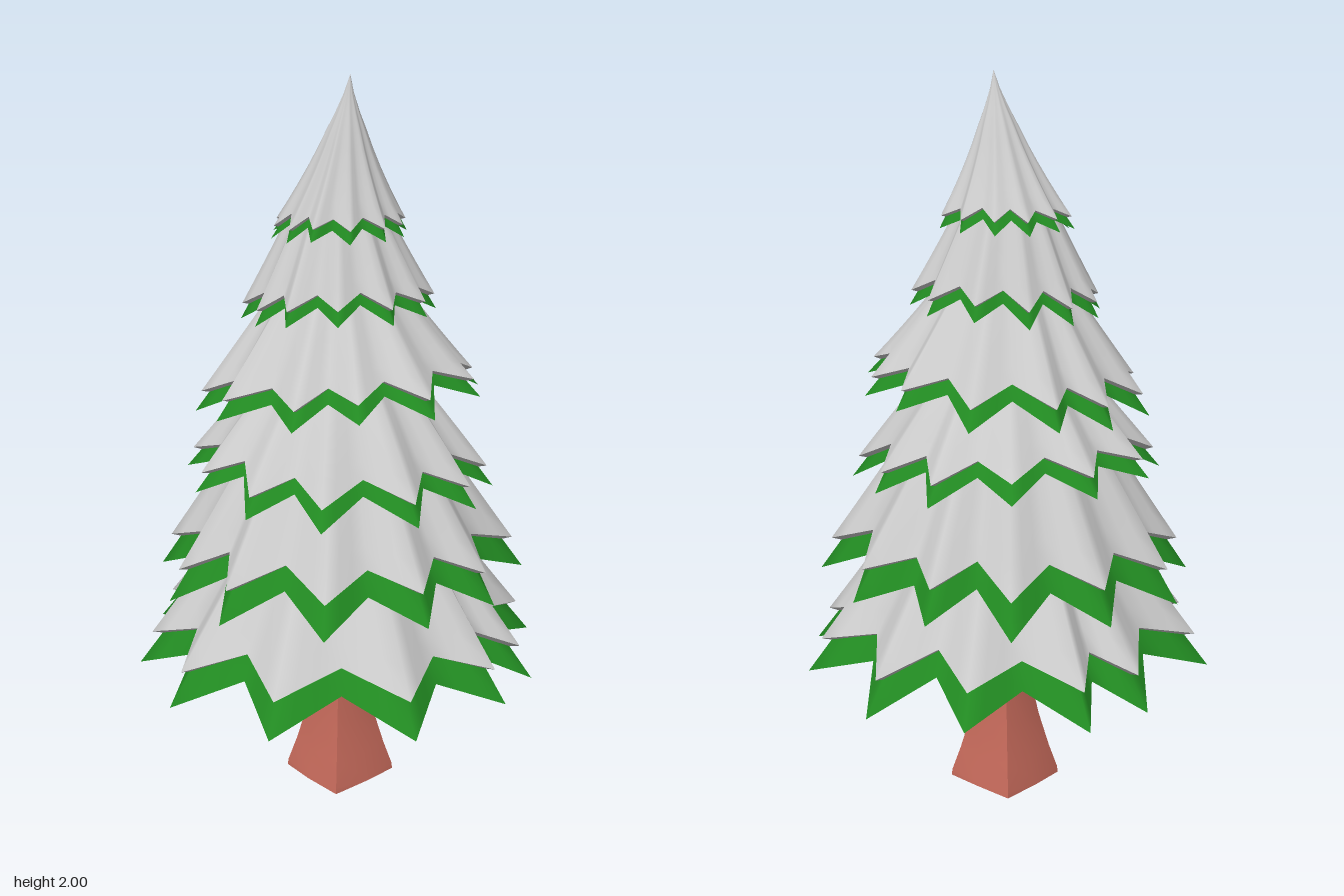
import * as THREE from 'three';
import { toCreasedNormals } from 'three/addons/utils/BufferGeometryUtils.js';

const snowMat = new THREE.MeshStandardMaterial({ color: 0xcccccc, side: THREE.DoubleSide });
const leafMat = new THREE.MeshStandardMaterial({ color: 0x228b22, side: THREE.DoubleSide });
const barkMat = new THREE.MeshStandardMaterial({ color: 0xc4695a });

// Small seeded generator giving values in -1..1
let seed = 7;
const rand = () => {
  seed = (seed * 16807) % 2147483647;
  return (seed / 2147483647) * 2 - 1;
};

// Closed skin over rows of points; point(row, column) returns [x, y, z], rows run downwards
function skin(rows, cols, point) {
  const pos = [], index = [];
  for (let i = 0; i < rows; i++) {
    for (let j = 0; j < cols; j++) {
      pos.push(...point(i, j));
      if (i === rows - 1) continue;
      const a = i * cols + j, b = i * cols + (j + 1) % cols;
      index.push(a, b, a + cols, b, b + cols, a + cols);
    }
  }
  const g = new THREE.BufferGeometry();
  g.setAttribute('position', new THREE.Float32BufferAttribute(pos, 3));
  g.setIndex(index);
  g.computeVertexNormals();
  return g;
}

function part(name, geometry, material) {
  const mesh = new THREE.Mesh(geometry, material);
  mesh.name = name;
  return mesh;
}

// Branch tiers from the bottom up; k scales the snow and the rim, tilt leans the rim along x
const even = (start) => Array.from({ length: 12 }, (_, i) => start + i * 30 + rand() * 4);
const tiers = [
  { R: 0.565, rim: 0.4, top: 1.05, rTop: 0.1, k: 1, tilt: 0, bend: 1.08,
    tips: [-93, -60, -30, -11, 21, 59, 92, 122, 152, 188, 207, 239] },
  { R: 0.512, rim: 0.65, top: 1.3, rTop: 0.08, k: 0.95, tilt: 0.05, bend: 1.05,
    tips: [-82, -47, -13, 15, 45, 78, 102, 137, 165, 197, 227, 252] },
  { R: 0.422, rim: 0.93, top: 1.38, rTop: 0.03, k: 0.8, tilt: -0.05, bend: 0.92, tips: even(-75) },
  { R: 0.392, rim: 1.145, top: 1.6, rTop: 0.05, k: 0.75, tilt: 0.1, bend: 1.08, tips: even(-88) },
  { R: 0.26, rim: 1.38, top: 1.8, rTop: 0.04, k: 0.6, tilt: 0.08, bend: 1.1, tips: even(-82) },
  { R: 0.183, rim: 1.592, top: 1.997, rTop: 0, k: 0.45, tilt: 0.02, bend: 1.4, tips: even(-90) },
];

function makeTier(t, level) {
  const n = t.tips.length;
  // Even corners are tips, odd corners the valleys halfway between them
  const corners = Array.from({ length: n * 2 }, (_, j) => {
    const i = j >> 1, tip = j % 2 === 0;
    const next = i + 1 < n ? t.tips[i + 1] : t.tips[0] + 360;
    const angle = THREE.MathUtils.degToRad(tip ? t.tips[i] : (t.tips[i] + next) / 2);
    const reach = (tip ? 1 : 0.77) * (1 + rand() * 0.015);
    return {
      x: Math.cos(angle), z: Math.sin(angle), reach,
      lift: ((tip ? 0 : 0.07) + rand() * 0.012) * t.k,
    };
  });
  const last = level === tiers.length - 1;
  // Point below a corner: s runs 0 at the top to 1 at the rim, puff is the snow thickness
  const atCorner = (s, { x, z, reach, lift }, puff) => {
    const fold = 1 + (reach - 1) * Math.pow(s, 0.5);
    const r = (t.rTop + (t.R - t.rTop) * Math.pow(s, t.bend)) * fold
      + puff * 0.028 * t.k * Math.min(1, s * 3);
    const y = t.top + (t.rim - t.top) * s + lift * s * s + t.tilt * x * r * s + puff * 0.006 * t.k;
    return [x * r + (last ? 0.045 * (1 - s) : 0), y, z * r];
  };
  // Each side between two corners is straight and has inner columns, so the folds shade softly
  const sub = 3, cols = corners.length * sub;
  const at = (s, j, puff) => {
    const i = Math.floor(j / sub), f = (j % sub) / sub;
    const a = atCorner(s, corners[i], puff);
    const b = atCorner(s, corners[(i + 1) % corners.length], puff);
    return a.map((v, axis) => v + (b[axis] - v) * f);
  };
  const rows = 9, edge = 0.97 - 0.1 * t.k;
  const group = new THREE.Group();
  group.name = `branchTier${level + 1}`;
  group.add(
    part('branches', skin(rows, cols, (i, j) => at(i / (rows - 1), j, 0)), leafMat),
    part('snow', skin(rows, cols, (i, j) => at(edge * i / (rows - 1), j, 1)), snowMat),
    part('snowLip', skin(2, cols, (i, j) => at(edge, j, 1 - i)), snowMat),
  );
  return group;
}

// Squarish flared trunk: [height, half width, corner radius]
function makeTrunk() {
  const rows = [[1.5, 0.026, 0.03], [0.45, 0.046, 0.058], [0.32, 0.057, 0.071],
    [0.2, 0.079, 0.098], [0.1, 0.1, 0.128], [0.03, 0.12, 0.153], [0.012, 0.123, 0.155],
    [0, 0.105, 0.13], [0.012, 0, 0]];
  const g = skin(rows.length, 8, (i, j) => {
    const [y, side, corner] = rows[i], r = j % 2 ? corner : side, a = j * Math.PI / 4;
    // The foot is raised a little between the corners
    const foot = i === 6 || i === 7 ? (j % 2 ? 0 : 0.008) : 0;
    return [0.006 + Math.cos(a) * r, y + foot, Math.sin(a) * r];
  });
  return part('trunk', toCreasedNormals(g, 0.6), barkMat);
}

export function createModel() {
  const tree = new THREE.Group();
  tree.name = 'snowyTree';
  tree.add(makeTrunk(), ...tiers.map(makeTier));
  return tree;
}
